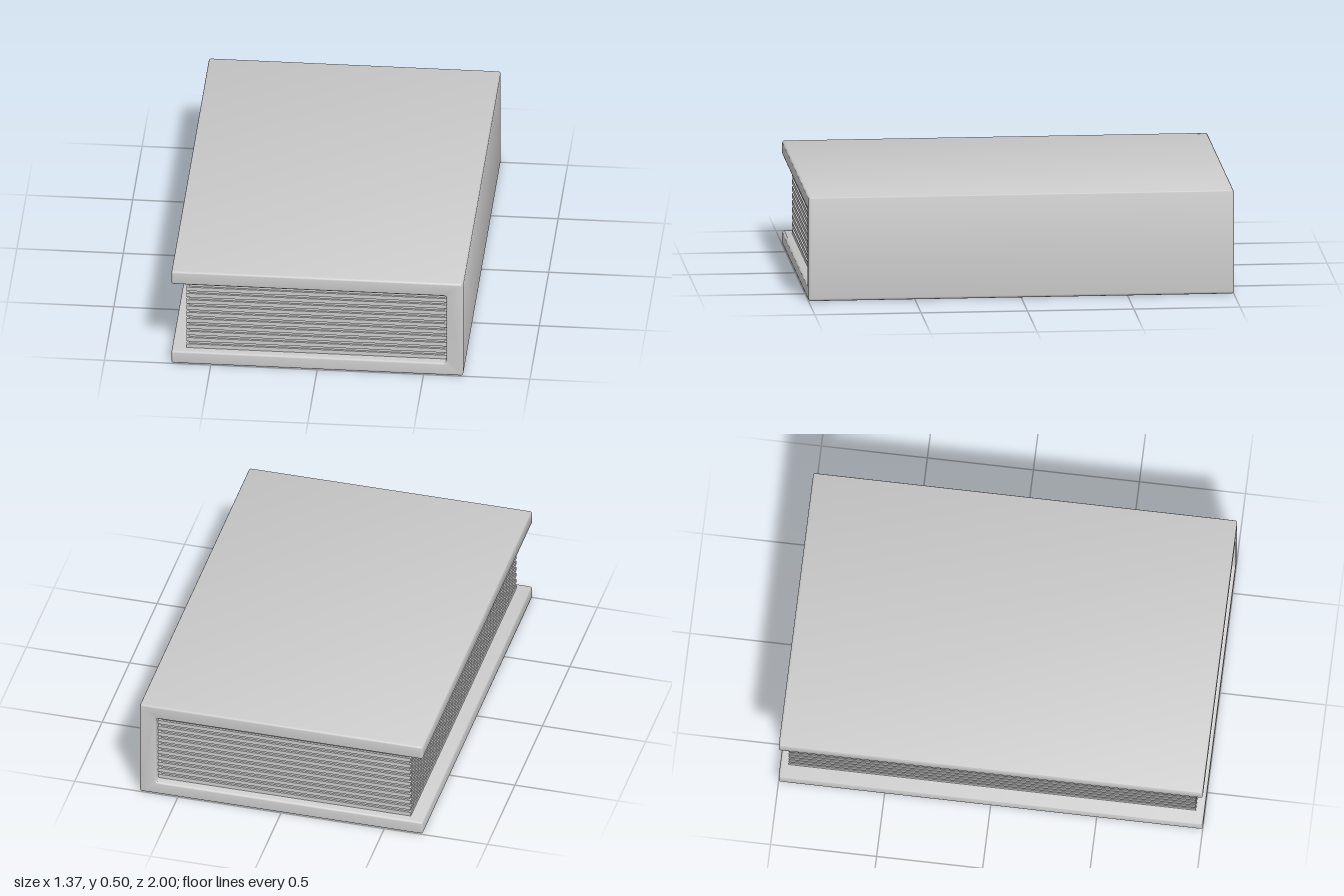
import * as THREE from 'three';
import { toCreasedNormals } from 'three/addons/utils/BufferGeometryUtils.js';

const material = new THREE.MeshStandardMaterial({ color: 0xcccccc });

const HALF_WIDTH = 0.686, HEIGHT = 0.496, DEPTH = 2;
const BOARD_LOW = 0.066, BOARD_HIGH = 0.427, SPINE_INNER = 0.606;

// Closed outline with every corner rounded by radius r
function roundedShape(points, r) {
  const shape = new THREE.Shape();
  const corners = points.map(([x, y]) => new THREE.Vector2(x, y));
  corners.forEach((c, i) => {
    const prev = corners[(i + corners.length - 1) % corners.length];
    const next = corners[(i + 1) % corners.length];
    const a = c.clone().add(prev.clone().sub(c).setLength(r));
    const b = c.clone().add(next.clone().sub(c).setLength(r));
    if (i === 0) shape.moveTo(a.x, a.y);
    else shape.lineTo(a.x, a.y);
    shape.quadraticCurveTo(c.x, c.y, b.x, b.y);
  });
  shape.closePath();
  return shape;
}

// Two boards joined by the spine on +x, as one C-shaped extrusion
function createCover() {
  const bevel = 0.01;
  const outline = roundedShape([
    [-HALF_WIDTH, 0], [HALF_WIDTH, 0], [HALF_WIDTH, HEIGHT], [-HALF_WIDTH, HEIGHT],
    [-HALF_WIDTH, BOARD_HIGH], [SPINE_INNER, BOARD_HIGH],
    [SPINE_INNER, BOARD_LOW], [-HALF_WIDTH, BOARD_LOW],
  ], 0.013);
  const geometry = new THREE.ExtrudeGeometry(outline, {
    depth: DEPTH - 2 * bevel, curveSegments: 4,
    bevelThickness: bevel, bevelSize: bevel, bevelOffset: -bevel, bevelSegments: 3,
  });
  geometry.translate(0, 0, -DEPTH / 2 + bevel);
  const cover = new THREE.Mesh(toCreasedNormals(geometry, 0.6), material);
  cover.name = 'cover';
  return cover;
}

// Alternating wide and recessed sheets fill the space between the boards
function createPages() {
  const pages = new THREE.Group();
  pages.name = 'pages';
  const wideCount = 11, wideThickness = 0.02;
  const gap = (BOARD_HIGH - BOARD_LOW - wideCount * wideThickness) / (wideCount - 1);
  let y = BOARD_LOW;
  for (let i = 0; i < 2 * wideCount - 1; i++) {
    const recessed = i % 2 === 1;
    const inset = recessed ? 0.01 : 0;
    const thickness = recessed ? gap : wideThickness;
    const left = -0.618 + inset, right = SPINE_INNER - inset;
    const sheet = new THREE.Mesh(
      new THREE.BoxGeometry(right - left, thickness, DEPTH - 2 * (0.04 + inset)), material);
    sheet.position.set((left + right) / 2, y + thickness / 2, 0);
    sheet.name = recessed ? 'recessedPage' : 'page';
    pages.add(sheet);
    y += thickness;
  }
  return pages;
}

export function createModel() {
  const book = new THREE.Group();
  book.name = 'book';
  book.add(createCover(), createPages());
  return book;
}
